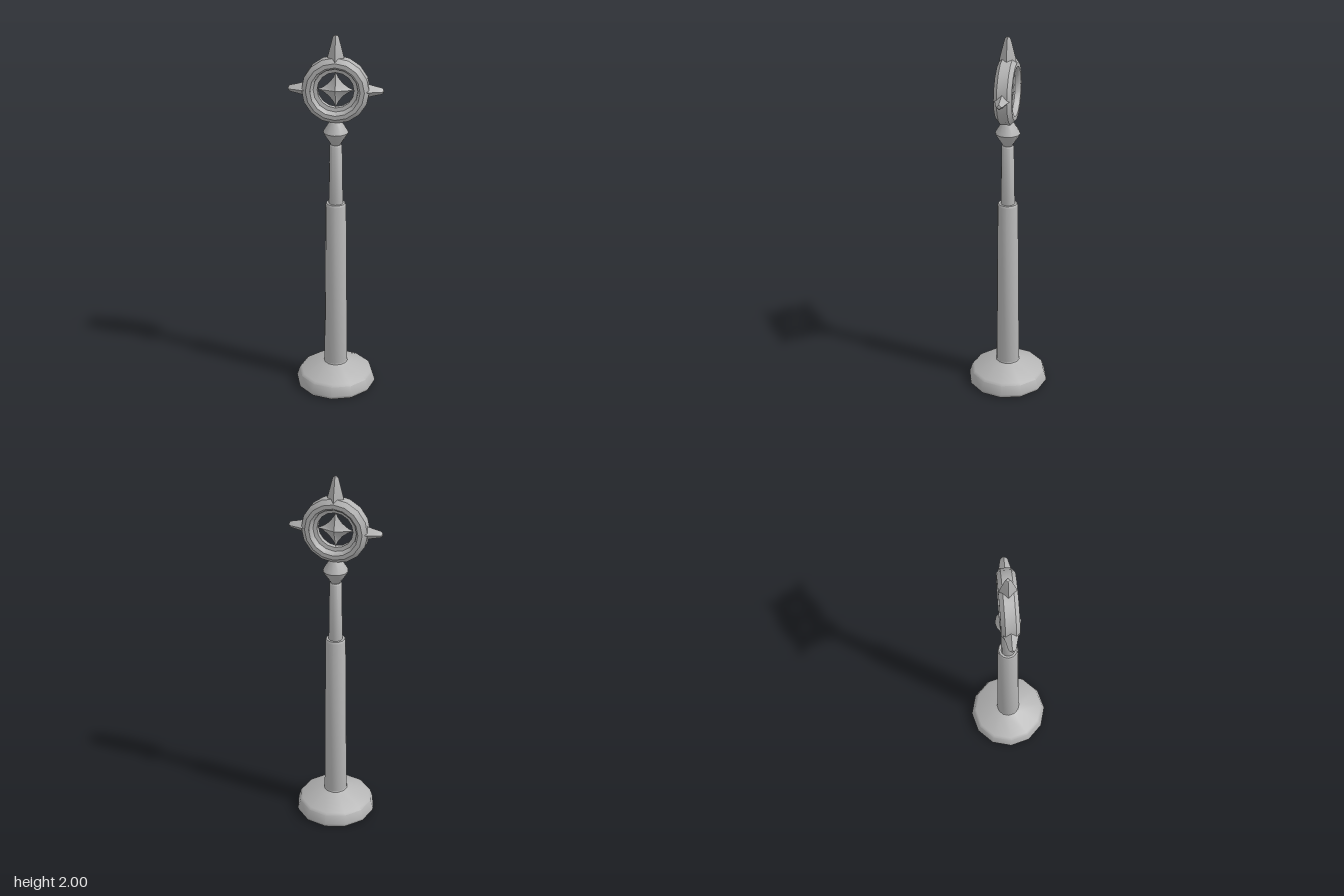
import * as THREE from 'three';
import { toCreasedNormals } from 'three/addons/utils/BufferGeometryUtils.js';

const RING_Y = 1.715;

export function createModel() {
  const group = new THREE.Group();
  const stone = new THREE.MeshStandardMaterial({ color: 0xb4b4b4 });
  stone.name = 'grey';

  const add = (name, geometry, crease = 0.62) => {
    const mesh = new THREE.Mesh(toCreasedNormals(geometry, crease), stone);
    mesh.name = name;
    group.add(mesh);
    return mesh;
  };
  const lathe = (points, sides) =>
    new THREE.LatheGeometry(points.map(([r, y]) => new THREE.Vector2(r, y)), sides);

  // Twelve-sided foot, stepped pole and faceted knob
  add('base', lathe([[0, 0], [0.21, 0], [0.218, 0.008], [0.22, 0.02], [0.204, 0.07], [0.192, 0.081],
    [0.085, 0.123], [0.066, 0.132], [0.06, 0.15]], 12));
  add('lowerPole', lathe([[0.064, 0.12], [0.055, 1.08], [0.05, 1.09], [0, 1.09]], 12));
  add('upperPole', lathe([[0.038, 1.08], [0.033, 1.412], [0.028, 1.42], [0, 1.42]], 12));
  add('knob', lathe([[0, 1.415], [0.022, 1.415], [0.062, 1.478], [0.066, 1.487], [0.062, 1.496],
    [0.032, 1.545], [0.022, 1.56], [0, 1.56]], 12));

  // Bevelled ring with a stepped inner rim
  const ring = lathe([[0.173, -0.026], [0.173, 0.026], [0.15, 0.046], [0.128, 0.046], [0.118, 0.036],
    [0.114, 0.018], [0.094, 0.014], [0.094, -0.014], [0.114, -0.018], [0.118, -0.036],
    [0.128, -0.046], [0.15, -0.046], [0.173, -0.026]], 16);
  ring.rotateX(Math.PI / 2);
  add('ring', ring).position.y = RING_Y;

  // Diamond-section spikes on the top and both sides
  const spike = (name, profile, angle, squash) => {
    const geometry = lathe(profile, 4);
    geometry.scale(squash, 1, 1);
    const mesh = add(name, geometry, 0.5);
    mesh.position.y = RING_Y;
    mesh.rotation.z = angle;
  };
  spike('topSpike', [[0, 0.12], [0.047, 0.12], [0.041, 0.175], [0.016, 0.272], [0.01, 0.283], [0, 0.285]], 0, 1);
  const sideProfile = [[0, 0.12], [0.047, 0.125], [0.035, 0.172], [0.028, 0.195], [0.019, 0.233], [0.012, 0.243], [0, 0.245]];
  spike('leftSpike', sideProfile, -Math.PI / 2, 0.95);
  spike('rightSpike', sideProfile, Math.PI / 2, 0.95);

  // Four-pointed star: a concave outline raised to a peak on both faces
  const outline = [];
  for (let i = 0; i < 24; i++) {
    const a = (i / 24) * Math.PI * 2;
    outline.push([0.1 * Math.cos(a) ** 3, 0.1 * Math.sin(a) ** 3]);
  }
  const corners = [];
  outline.forEach(([x, y], i) => {
    const [u, v] = outline[(i + 1) % outline.length];
    corners.push(0, 0, 0.034, x, y, 0, u, v, 0);
    corners.push(0, 0, -0.034, u, v, 0, x, y, 0);
  });
  const star = new THREE.BufferGeometry();
  star.setAttribute('position', new THREE.Float32BufferAttribute(corners, 3));
  add('star', star, 0.5).position.y = RING_Y;

  return group;
}
